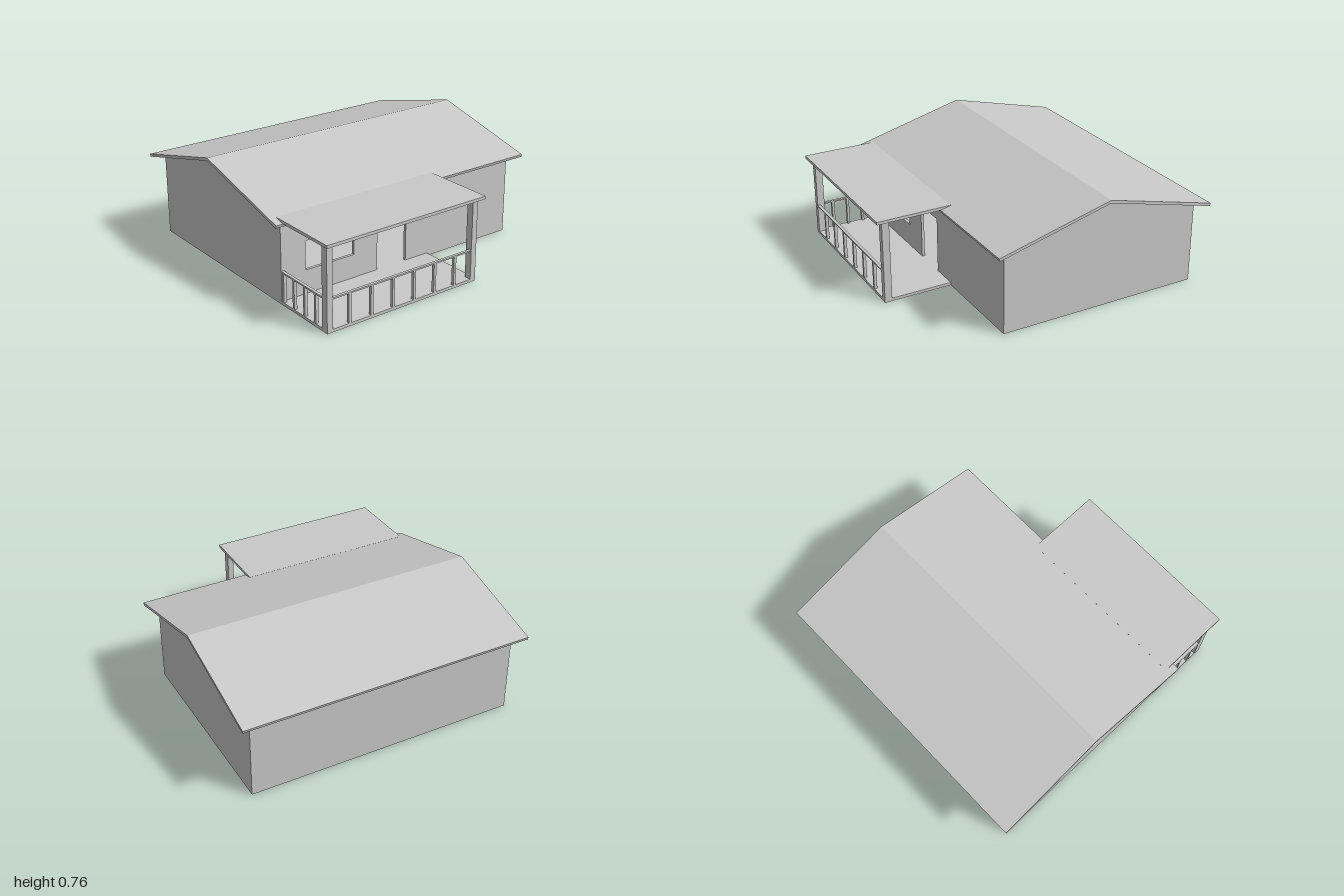
import * as THREE from 'three';

const T = 0.02;                       // sheet thickness
const HX = 0.925;                     // half width of the house
const ZF = 0.48, ZB = -0.913;         // front and back wall faces
const RIDGE_Z = -0.217, RIDGE_Y = 0.762, SLOPE = 0.255, SPAN = 0.77;
const PORCH_R = 0.23, PORCH_Z = 0.947;

const polygon = (pts) => new THREE.Shape(pts.map(([a, b]) => new THREE.Vector2(a, b)));

export function createModel() {
  const model = new THREE.Group();
  const card = new THREE.MeshStandardMaterial({ color: 0xc8c8c8 });
  card.name = 'greyCard';

  const add = (name, geometry) => {
    const mesh = new THREE.Mesh(geometry, card);
    mesh.name = name;
    model.add(mesh);
    return mesh;
  };
  const box = (name, x0, x1, y0, y1, z0, z1) =>
    add(name, new THREE.BoxGeometry(x1 - x0, y1 - y0, z1 - z0)
      .translate((x0 + x1) / 2, (y0 + y1) / 2, (z0 + z1) / 2));
  const extrude = (shape, depth) =>
    new THREE.ExtrudeGeometry(shape, { depth, bevelEnabled: false });
  // Extrudes a (z, y) outline along x, from x0 to x1
  const acrossX = (name, pts, x0, x1) =>
    add(name, extrude(polygon(pts.map(([z, y]) => [-z, y])), x1 - x0)
      .rotateY(Math.PI / 2).translate(x0, 0, 0));

  // L-shaped floor under the house and the porch
  const floor = polygon([
    [-HX, -PORCH_Z], [PORCH_R, -PORCH_Z], [PORCH_R, -ZF],
    [HX, -ZF], [HX, -ZB], [-HX, -ZB],
  ]);
  add('floor', extrude(floor, T).rotateX(-Math.PI / 2));

  // Gable walls
  const under = (z) => RIDGE_Y - T - SLOPE * Math.abs(z - RIDGE_Z);
  const gable = [[ZB, T], [ZF, T], [ZF, under(ZF)], [RIDGE_Z, under(RIDGE_Z)], [ZB, under(ZB)]];
  acrossX('gableWallRight', gable, -HX, -HX + T);
  acrossX('gableWallLeft', gable, HX - T, HX);

  // Back wall, and front wall with window and door openings
  const wallTop = under(ZF), inner = HX - T;
  box('backWall', -inner, inner, T, wallTop, ZB, ZB + T);
  const front = polygon([
    [-inner, T], [-0.19, T], [-0.19, 0.40], [0.045, 0.40], [0.045, T],
    [inner, T], [inner, wallTop], [-inner, wallTop],
  ]);
  front.holes.push(polygon([[-0.745, 0.18], [-0.745, 0.375], [-0.375, 0.375], [-0.375, 0.18]]));
  add('frontWall', extrude(front, T).translate(0, 0, ZF - T));

  // Folded gable roof with square-cut eaves
  const eaveY = RIDGE_Y - SLOPE * SPAN;
  acrossX('mainRoof', [
    [RIDGE_Z - SPAN, eaveY], [RIDGE_Z - SPAN + 0.005, eaveY - 0.019],
    [RIDGE_Z, RIDGE_Y - T],
    [RIDGE_Z + SPAN - 0.005, eaveY - 0.019], [RIDGE_Z + SPAN, eaveY],
    [RIDGE_Z, RIDGE_Y],
  ], -1, 1);

  // Flat porch roof and its two posts
  box('porchRoof', -0.952, 0.253, 0.565, 0.585, ZF, 0.988);
  const postBack = PORCH_Z - 0.05;
  box('porchPostRight', -HX, -HX + 0.04, T, 0.565, postBack, PORCH_Z);
  box('porchPostLeft', PORCH_R - 0.04, PORCH_R, T, 0.565, postBack, PORCH_Z);

  // Railings along the porch front and its outer side
  const railY = 0.213, railTop = 0.223, b = 0.009;
  box('frontRail', -HX + 0.04, PORCH_R - 0.04, railY, railTop, PORCH_Z - T, PORCH_Z);
  for (let i = 0; i < 6; i++) {
    const x = -0.758 + i * 0.163;
    box('frontBaluster', x - b, x + b, T, railY, PORCH_Z - T, PORCH_Z);
  }
  box('sideRail', -HX, -HX + T, railY, railTop, ZF, postBack);
  for (let i = 0; i < 4; i++) {
    const z = 0.825 - i * 0.11;
    box('sideBaluster', -HX, -HX + T, T, railY, z - b, z + b);
  }
  return model;
}
